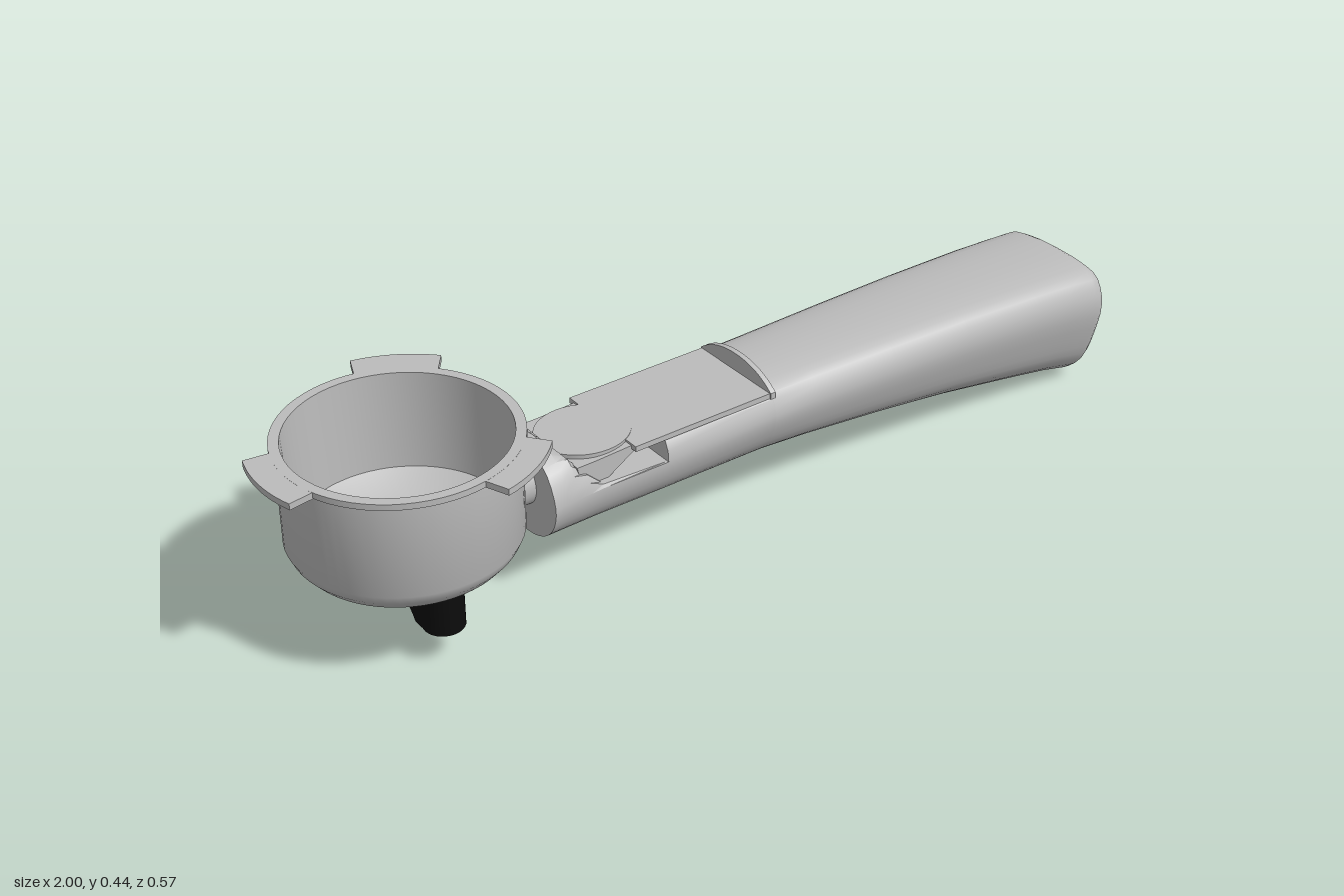
import * as THREE from 'three';
import { toCreasedNormals } from 'three/addons/utils/BufferGeometryUtils.js';

const BOWL_X = -0.71;

// Half outlines of the handle section (width 0..1, height 1..0): round at the collar, shield-like at the end
const half = (pts) => new THREE.CatmullRomCurve3(pts.map(([u, v]) => new THREE.Vector3(u, v, 0))).getPoints(21);
const ROUND = half([[0, 1], [0.42, 0.96], [0.78, 0.83], [1, 0.52], [0.93, 0.3], [0.71, 0.13], [0.38, 0.03], [0, 0]]);
const SHIELD = half([[0, 1], [0.5, 0.985], [0.87, 0.92], [1, 0.73], [0.89, 0.42], [0.73, 0.2], [0.36, 0.025], [0, 0]]);

// One closed ring: [x, half width, bottom, top, blend to shield, height of flat cut]
function ring([x, w, y0, y1, t, cut = 9]) {
  const side = ROUND.map((p, i) => p.clone().lerp(SHIELD[i], t));
  const mirrored = side.slice(1, -1).reverse().map((p) => new THREE.Vector3(-p.x, p.y, 0));
  return [...side, ...mirrored].map((p) => [x, Math.min(y0 + p.y * (y1 - y0), cut), p.x * w]);
}

// Skin over rings, closed with a fan at both ends
function loft(sections) {
  const rings = sections.map(ring);
  const n = rings[0].length, pos = rings.flat(2), idx = [];
  for (let i = 0; i < rings.length - 1; i++) {
    for (let j = 0; j < n; j++) {
      const a = i * n + j, b = i * n + (j + 1) % n;
      idx.push(a, b, a + n, b, b + n, a + n);
    }
  }
  [0, sections.length - 1].forEach((s, end) => {
    const [x, , y0, y1] = sections[s], c = pos.length / 3;
    pos.push(x + (end ? 0.003 : 0), (y0 + y1) / 2, 0);
    for (let j = 0; j < n; j++) {
      const a = s * n + j, b = s * n + (j + 1) % n;
      idx.push(c, end ? a : b, end ? b : a);
    }
  });
  const g = new THREE.BufferGeometry();
  g.setAttribute('position', new THREE.Float32BufferAttribute(pos, 3));
  g.setIndex(idx);
  return toCreasedNormals(g, 0.6);
}

export function createModel() {
  const model = new THREE.Group();
  const metal = new THREE.MeshStandardMaterial({ color: 0xbcbcbc });
  metal.name = 'light grey';
  const black = new THREE.MeshStandardMaterial({ color: 0x0c0c0c });
  black.name = 'black';

  const add = (name, geometry, material = metal, x = 0, y = 0, z = 0) => {
    const mesh = new THREE.Mesh(geometry, material);
    mesh.name = name;
    mesh.position.set(x, y, z);
    model.add(mesh);
    return mesh;
  };
  const extrude = (shape, depth) =>
    new THREE.ExtrudeGeometry(shape, { depth, bevelEnabled: false, curveSegments: 24 });
  const polygon = (pts) => new THREE.Shape(pts.map(([x, y]) => new THREE.Vector2(x, y)));

  // Hollow bowl with a thin rim
  const profile = [
    [0, 0.155], [0.12, 0.157], [0.16, 0.167], [0.205, 0.19], [0.222, 0.21], [0.231, 0.23],
    [0.231, 0.427], [0.24, 0.428], [0.24, 0.441], [0.219, 0.441], [0.212, 0.23], [0.15, 0.195], [0, 0.185],
  ].map(([r, y]) => new THREE.Vector2(r, y));
  add('bowl', toCreasedNormals(new THREE.LatheGeometry(profile, 64), 0.6), metal, BOWL_X);

  // Three locking lugs on the rim
  for (const deg of [60, 180, 300]) {
    const a = THREE.MathUtils.degToRad(deg);
    const s = new THREE.Shape();
    s.absarc(0, 0, 0.29, a - 0.31, a + 0.31, false);
    s.absarc(0, 0, 0.225, a + 0.36, a - 0.36, true);
    const g = extrude(s, 0.0135);
    g.rotateX(-Math.PI / 2);
    add('lug', g, metal, BOWL_X, 0.4272);
  }

  // Twin spout: two round legs joined by an arched bridge
  const bridge = polygon([[-0.125, 0.18], [-0.125, 0.078], [-0.09, 0.078]]);
  bridge.quadraticCurveTo(-0.06, 0.125, 0, 0.125);
  bridge.quadraticCurveTo(0.06, 0.125, 0.09, 0.078);
  bridge.lineTo(0.125, 0.078);
  bridge.lineTo(0.125, 0.18);
  const bridgeGeo = extrude(bridge, 0.084);
  bridgeGeo.rotateY(Math.PI / 2);
  add('spoutBridge', bridgeGeo, black, BOWL_X - 0.042);
  for (const side of [-1, 1]) {
    add('spoutLeg', new THREE.CylinderGeometry(0.042, 0.042, 0.09, 28), black, BOWL_X, 0.121, side * 0.125);
  }

  // Neck between bowl and handle
  add('neck', new THREE.CylinderGeometry(0.052, 0.052, 0.07, 32), metal, -0.455, 0.235).rotation.z = Math.PI / 2;

  // Handle: collar, scooped notch, flat deck, then the flaring grip
  add('handle', loft([
    [-0.445, 0.12, 0.12, 0.32, 0],
    [-0.415, 0.12, 0.12, 0.325, 0],
    [-0.39, 0.12, 0.12, 0.325, 0.03, 0.3],
    [-0.36, 0.12, 0.12, 0.325, 0.06, 0.265],
    [-0.33, 0.12, 0.12, 0.325, 0.1, 0.237],
    [-0.18, 0.125, 0.12, 0.32, 0.3, 0.235],
    [-0.178, 0.125, 0.12, 0.32, 0.3, 0.285],
    [0.086, 0.13, 0.12, 0.315, 0.6, 0.285],
    [0.088, 0.13, 0.12, 0.312, 0.6],
    [0.2, 0.133, 0.112, 0.311, 0.7],
    [0.4, 0.14, 0.092, 0.311, 0.82],
    [0.6, 0.146, 0.067, 0.31, 0.92],
    [0.8, 0.153, 0.035, 0.305, 1],
    [0.9, 0.156, 0.018, 0.301, 1],
    [0.965, 0.159, 0.003, 0.297, 1],
    [0.978, 0.158, 0.001, 0.295, 1],
    [0.99, 0.152, 0.008, 0.289, 1],
    [0.996, 0.142, 0.02, 0.28, 1],
    [0.997, 0.12, 0.045, 0.26, 1],
  ]));

  // Deck plate, wedge-shaped tongue and thumb pad
  add('deck', new THREE.BoxGeometry(0.34, 0.012, 0.23), metal, -0.082, 0.287);
  const tongue = extrude(polygon([
    [-0.37, 0.24], [-0.31, 0.235], [-0.235, 0.281], [-0.235, 0.289], [-0.34, 0.285], [-0.38, 0.285],
  ]), 0.2);
  add('tongue', tongue, metal, 0, 0, -0.1);
  const pad = add('thumbPad', new THREE.CylinderGeometry(0.1, 0.1, 0.009, 40), metal, -0.3, 0.2895);
  pad.scale.z = 0.92;

  // Arched stop at the end of the deck
  const stop = polygon([[-0.118, 0.28], [0.118, 0.28], [0.118, 0.294]]);
  stop.quadraticCurveTo(0.07, 0.333, 0, 0.333);
  stop.quadraticCurveTo(-0.07, 0.333, -0.118, 0.294);
  const stopGeo = extrude(stop, 0.012);
  stopGeo.rotateY(Math.PI / 2);
  add('deckStop', stopGeo, metal, 0.081);

  return model;
}
